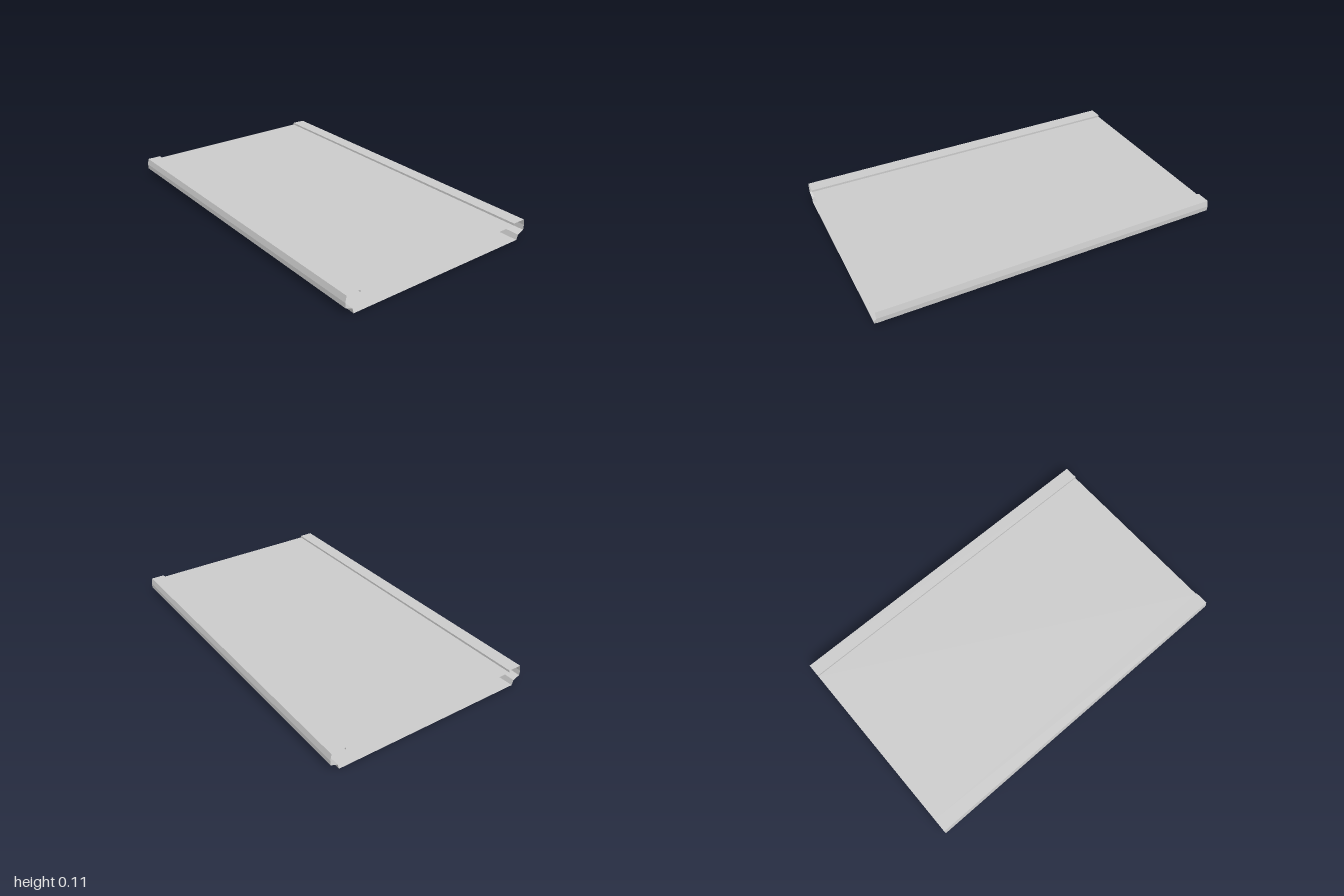
import * as THREE from 'three';

const material = new THREE.MeshStandardMaterial({
  color: 0xcccccc, flatShading: true, side: THREE.DoubleSide,
});

// Sheet swept along z from an open profile; counter-clockwise profiles face outward.
function sheet(name, profile, halfLength = 1) {
  const positions = [];
  for (let i = 0; i < profile.length - 1; i++) {
    const [x1, y1] = profile[i];
    const [x2, y2] = profile[i + 1];
    const a = [x1, y1, halfLength], b = [x2, y2, halfLength];
    const c = [x1, y1, -halfLength], d = [x2, y2, -halfLength];
    positions.push(...a, ...c, ...b, ...b, ...c, ...d);
  }
  const geometry = new THREE.BufferGeometry();
  geometry.setAttribute('position', new THREE.Float32BufferAttribute(positions, 3));
  geometry.computeVertexNormals();
  const mesh = new THREE.Mesh(geometry, material);
  mesh.name = name;
  return mesh;
}

export function createModel() {
  const group = new THREE.Group();
  group.name = 'hollowPanel';

  const baseX = 0.567, lipX = 0.53, panelY = 0.098;

  // Side rail: foot, undercut, outer wall, raised lip and step down to the panel
  const rail = [
    [baseX, 0], [0.575, 0.03], [0.615, 0.046], [0.617, 0.075],
    [0.61, 0.11], [lipX, 0.11], [lipX, panelY],
  ];
  const mirrored = rail.map(([x, y]) => [-x, y]).reverse();

  group.add(
    sheet('base', [[-baseX, 0], [baseX, 0]]),
    sheet('topPanel', [[lipX, panelY], [-lipX, panelY]]),
    sheet('leftRail', rail),
    sheet('rightRail', mirrored),
  );
  return group;
}
